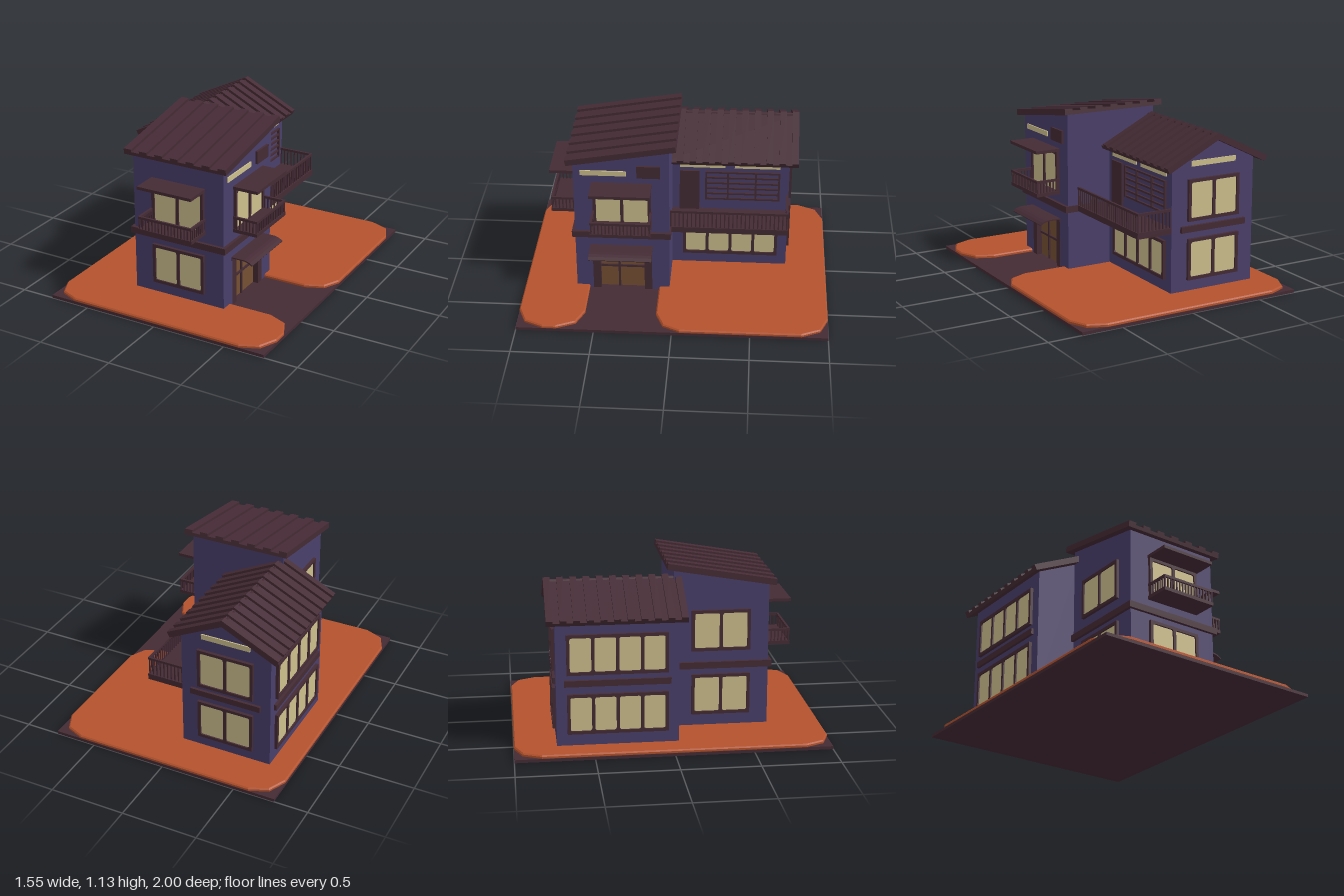
import * as THREE from 'three';

const mat = (name, color, side = THREE.FrontSide) => {
  const m = new THREE.MeshStandardMaterial({ color, side });
  m.name = name;
  return m;
};
const wall = mat('indigo wall', 0x4a3f6b);
const timber = mat('dark timber', 0x452b35);
const lawnMat = mat('rust lawn', 0xb4522d);
const glass = mat('cream glass', 0xcdbf8c);
const wood = mat('brown door', 0x765033);

function add(parent, name, geo, material) {
  const m = new THREE.Mesh(geo, material);
  m.name = name;
  parent.add(m);
  return m;
}
// Box given by its min and max corners
function box(parent, name, material, x0, x1, y0, y1, z0, z1) {
  const m = add(parent, name, new THREE.BoxGeometry(x1 - x0, y1 - y0, z1 - z0), material);
  m.position.set((x0 + x1) / 2, (y0 + y1) / 2, (z0 + z1) / 2);
  return m;
}
function group(parent, name, x = 0, y = 0, z = 0, yaw = 0) {
  const g = new THREE.Group();
  g.name = name;
  g.position.set(x, y, z);
  g.rotation.y = yaw;
  parent.add(g);
  return g;
}
const poly = pts => new THREE.Shape(pts.map(p => new THREE.Vector2(...p)));
const extrude = (shape, depth, opts = {}) =>
  new THREE.ExtrudeGeometry(shape, { depth, bevelEnabled: false, curveSegments: 3, ...opts });

// Rectangle with rounded corners
function roundRect(x0, x1, y0, y1, r) {
  const p = new THREE.Path();
  p.moveTo(x0 + r, y0);
  p.lineTo(x1 - r, y0).quadraticCurveTo(x1, y0, x1, y0 + r);
  p.lineTo(x1, y1 - r).quadraticCurveTo(x1, y1, x1 - r, y1);
  p.lineTo(x0 + r, y1).quadraticCurveTo(x0, y1, x0, y1 - r);
  p.lineTo(x0, y0 + r).quadraticCurveTo(x0, y0, x0 + r, y0);
  return p;
}

// Framed window facing local +z, centred on the origin
function windowUnit(parent, name, w, h, panes) {
  const g = group(parent, name);
  const shape = poly([[-w / 2, -h / 2], [w / 2, -h / 2], [w / 2, h / 2], [-w / 2, h / 2]]);
  const b = 0.02, pw = (w - b * (panes + 1)) / panes;
  for (let i = 0; i < panes; i++) {
    const x = -w / 2 + b + i * (pw + b);
    shape.holes.push(roundRect(x, x + pw, -h / 2 + b, h / 2 - b, 0.014));
  }
  add(g, 'windowFrame', extrude(shape, 0.02), timber);
  box(g, 'windowGlass', glass, -w / 2 + 0.01, w / 2 - 0.01, -h / 2 + 0.01, h / 2 - 0.01, 0.002, 0.01);
  return g;
}

// Straight railing between two floor points
function railing(parent, ax, az, bx, bz, y0, y1, n) {
  const len = Math.hypot(bx - ax, bz - az);
  const g = group(parent, 'railing', ax, 0, az, -Math.atan2(bz - az, bx - ax));
  box(g, 'handrail', timber, -0.006, len + 0.006, y1 - 0.016, y1, -0.007, 0.007);
  for (let i = 0; i <= n; i++) {
    const x = len * i / n;
    box(g, 'baluster', timber, x - 0.004, x + 0.004, y0, y1 - 0.01, -0.004, 0.004);
  }
}

// Upper window with awning and small balcony, facing local +z
function balconyWindow(parent, name, x, z, yaw) {
  const g = group(parent, name, x, 0, z, yaw);
  windowUnit(g, 'upperWindow', 0.375, 0.29, 2).position.y = 0.675;
  box(g, 'awning', timber, -0.193, 0.193, 0.82, 0.84, 0, 0.172);
  box(g, 'balconyFloor', timber, -0.193, 0.193, 0.53, 0.553, 0, 0.17);
  railing(g, -0.186, 0.163, 0.186, 0.163, 0.55, 0.637, 16);
  railing(g, -0.186, 0, -0.186, 0.163, 0.55, 0.637, 7);
  railing(g, 0.186, 0, 0.186, 0.163, 0.55, 0.637, 7);
}

// Ribbed roof slope falling from its upper edge towards local +z
function roofSlope(parent, name, width, length, n, ribW, x, y, z, pitch, yaw) {
  const g = group(parent, name, x, y, z);
  g.rotation.set(pitch, yaw, 0, 'YXZ');
  box(g, 'roofSheet', timber, -width / 2, width / 2, -0.04, -0.017, 0, length);
  for (let i = 0; i < n; i++) {
    const cx = -width / 2 + ribW / 2 + i * (width - ribW) / (n - 1);
    box(g, 'roofRib', timber, cx - ribW / 2, cx + ribW / 2, -0.03, 0, 0, length);
  }
}

export function createModel() {
  const model = new THREE.Group();
  model.name = 'house';

  // Ground slab and lawn with a path cut into its right side
  box(model, 'groundSlab', timber, -0.775, 0.775, 0, 0.02, -1, 1);
  const lawn = poly([
    [-0.6, -1], [0.6, -1], [0.72, -0.95], [0.775, -0.83], [0.775, -0.05], [0.72, 0.06], [0.6, 0.11],
    [0.2, 0.11], [0.2, 0.57], [0.6, 0.57], [0.72, 0.62], [0.775, 0.74], [0.775, 0.83], [0.72, 0.95],
    [0.6, 1], [-0.6, 1], [-0.72, 0.95], [-0.775, 0.83], [-0.775, -0.83], [-0.72, -0.95]]);
  const lawnGeo = extrude(lawn, 0.012, {
    bevelEnabled: true, bevelSize: 0.008, bevelOffset: -0.008, bevelThickness: 0.008, bevelSegments: 1 });
  lawnGeo.rotateX(Math.PI / 2).translate(0, 0.034, 0);
  add(model, 'lawn', lawnGeo, lawnMat);

  // Front block: core plus an outer skin with the doorway
  const front = group(model, 'frontBlock');
  const top = [[0.655, 0.98], [0.04, 1.087]];
  const core = extrude(poly([[0.04, 0.02], [0.655, 0.02], ...top]), 0.6);
  add(front, 'frontWalls', core.rotateY(-Math.PI / 2).translate(0.255, 0, 0), wall);
  const skin = extrude(poly([[0.04, 0.02], [0.155, 0.02], [0.155, 0.345], [0.545, 0.345],
    [0.545, 0.02], [0.655, 0.02], ...top]), 0.05);
  add(front, 'entranceWall', skin.rotateY(-Math.PI / 2).translate(0.305, 0, 0), wall);
  roofSlope(front, 'frontRoof', 0.73, 0.71, 7, 0.055, -0.02, 1.135, 0, Math.atan2(0.12, 0.7), 0);

  // Entrance door, posts and curved canopy
  const door = group(front, 'entrance');
  for (const z of [0.155, 0.495]) box(door, 'doorPost', timber, 0.255, 0.307, 0.02, 0.345, z, z + 0.05);
  box(door, 'doorLeaf', wood, 0.255, 0.27, 0.02, 0.345, 0.205, 0.495);
  box(door, 'doorMullion', timber, 0.27, 0.28, 0.02, 0.345, 0.366, 0.38);
  box(door, 'doorCrossbar', timber, 0.27, 0.28, 0.175, 0.19, 0.205, 0.495);
  box(door, 'doorHead', timber, 0.27, 0.31, 0.337, 0.358, 0.15, 0.555);
  const c = new THREE.Shape();
  c.moveTo(0.3, 0.356);
  c.lineTo(0.395, 0.356).quadraticCurveTo(0.425, 0.353, 0.452, 0.333);
  c.lineTo(0.457, 0.34).quadraticCurveTo(0.425, 0.362, 0.395, 0.364);
  c.lineTo(0.3, 0.364);
  add(door, 'canopy', extrude(c, 0.41).translate(0, 0, 0.148), timber);

  // Front block windows, trim band, vent strip and panel
  balconyWindow(front, 'frontBalcony', -0.018, 0.655, 0);
  balconyWindow(front, 'sideBalcony', 0.305, 0.345, Math.PI / 2);
  windowUnit(front, 'groundWindow', 0.375, 0.27, 2).position.set(-0.018, 0.25, 0.655);
  const left = group(front, 'leftWindows', -0.345, 0, 0.345, -Math.PI / 2);
  for (const y of [0.255, 0.683]) windowUnit(left, 'leftWindow', 0.38, 0.27, 2).position.y = y;
  box(front, 'trimBand', timber, -0.365, 0.325, 0.43, 0.473, 0.03, 0.675);
  box(front, 'ventStrip', glass, 0.305, 0.313, 0.893, 0.927, 0.315, 0.61);
  box(front, 'wallPanel', timber, 0.305, 0.32, 0.885, 0.97, 0.097, 0.247);

  // Back block with gable roof
  const back = group(model, 'backBlock');
  const gable = poly([[-0.62, 0.02], [-0.01, 0.02], [-0.01, 0.862], [-0.315, 1.012], [-0.62, 0.862]]);
  add(back, 'backWalls', extrude(gable, 0.77).translate(0, 0, -0.73), wall);
  for (const s of [-1, 1])
    roofSlope(back, 'backRoof', 0.875, 0.418, 11, 0.042, -0.315, 1.055, -0.3475,
      Math.atan2(0.185, 0.375), s * Math.PI / 2);

  // Back block windows and trim
  const sideL = group(back, 'leftSide', -0.62, 0, -0.345, -Math.PI / 2);
  const rear = group(back, 'rearSide', -0.315, 0, -0.73, Math.PI);
  for (const y of [0.25, 0.635]) {
    windowUnit(sideL, 'wideWindow', 0.635, 0.26, 4).position.y = y;
    windowUnit(rear, 'rearWindow', 0.38, 0.27, 2).position.y = y;
  }
  box(sideL, 'sideBand', timber, -0.335, 0.335, 0.43, 0.47, 0, 0.018);
  box(rear, 'rearBand', timber, -0.24, 0.24, 0.43, 0.47, 0, 0.018);
  box(rear, 'rearVent', glass, -0.165, 0.165, 0.85, 0.885, 0, 0.008);
  const sideR = group(back, 'rightSide', -0.01, 0, -0.35, Math.PI / 2);
  windowUnit(sideR, 'wideWindow', 0.635, 0.255, 4).position.y = 0.248;
  for (const x of [-0.34, 0.02]) box(sideR, 'ventStrip', glass, x, x + 0.3, 0.79, 0.825, 0, 0.008);

  // Balcony door and slatted screen
  box(sideR, 'balconyDoor', timber, -0.34, -0.21, 0.473, 0.765, 0, 0.015);
  for (let i = 0; i < 6; i++) {
    const y = 0.55 + i * 0.04;
    box(sideR, 'screenSlat', timber, -0.172, 0.32, y, y + 0.012, 0, 0.014);
  }
  for (const x of [-0.172, -0.028, 0.155, 0.308])
    box(sideR, 'screenPost', timber, x, x + 0.012, 0.55, 0.762, 0, 0.016);

  // Long side balcony
  const balcony = group(model, 'longBalcony');
  box(balcony, 'balconySlab', timber, -0.01, 0.235, 0.433, 0.473, -0.73, 0.04);
  railing(balcony, 0.226, 0.035, 0.226, -0.72, 0.47, 0.595, 28);
  railing(balcony, -0.005, -0.72, 0.226, -0.72, 0.47, 0.595, 9);

  return model;
}
